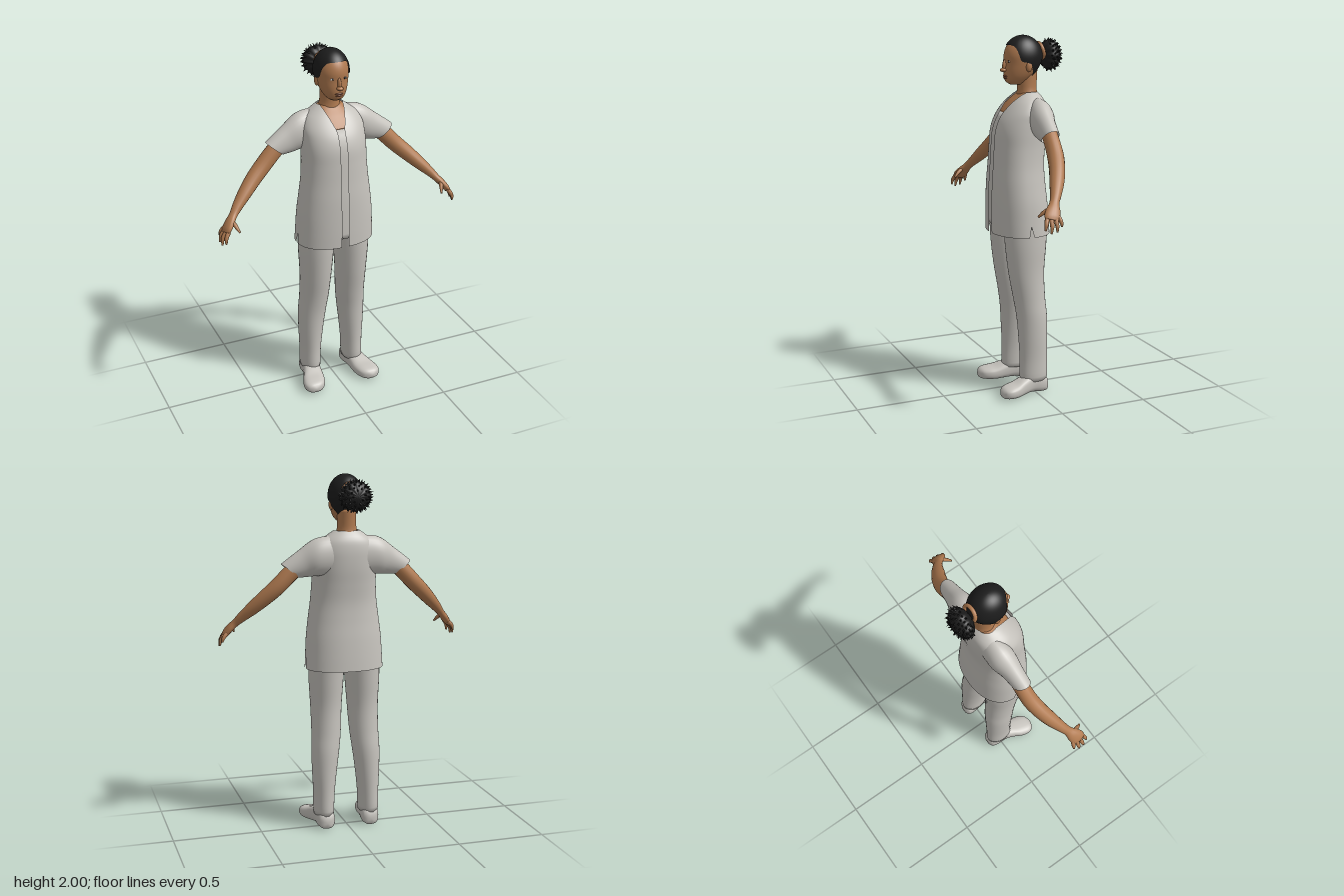
import * as THREE from 'three';

const V = (x, y, z) => new THREE.Vector3(x, y, z);
const mat = (name, color, side = THREE.FrontSide) => {
  const m = new THREE.MeshStandardMaterial({ color, side });
  m.name = name;
  return m;
};

// Smooth table lookup: rows are [key, a, b, ...] with rising keys
function sample(rows, k) {
  const n = rows.length;
  let i = 0;
  while (i < n - 2 && k > rows[i + 1][0]) i++;
  const h = rows[i + 1][0] - rows[i][0];
  const t = THREE.MathUtils.clamp((k - rows[i][0]) / h, 0, 1);
  const slope = (a, b, c) => (rows[b][c] - rows[a][c]) / (rows[b][0] - rows[a][0]) * h;
  return rows[0].slice(1).map((_, j) => {
    const c = j + 1, p = rows[i][c], q = rows[i + 1][c];
    const m = slope(Math.max(i - 1, 0), i + 1, c), o = slope(i, Math.min(i + 2, n - 1), c);
    const t2 = t * t, t3 = t2 * t;
    return (2 * t3 - 3 * t2 + 1) * p + (t3 - 2 * t2 + t) * m + (3 * t2 - 2 * t3) * q + (t3 - t2) * o;
  });
}

// Skin a list of rings (counter-clockwise about the direction of advance)
function loft(rings, { closed = true, caps = true } = {}) {
  if (caps) {
    const mid = r => { const c = V(0, 0, 0); r.forEach(p => c.add(p)); return r.map(() => c.clone().divideScalar(r.length)); };
    rings = [mid(rings[0]), ...rings, mid(rings[rings.length - 1])];
  }
  const n = rings[0].length, index = [];
  for (let i = 0; i < rings.length - 1; i++)
    for (let j = 0; j < (closed ? n : n - 1); j++) {
      const k = (j + 1) % n, a = i * n + j, b = i * n + k, c = b + n, d = a + n;
      index.push(a, b, d, b, c, d);
    }
  const g = new THREE.BufferGeometry().setFromPoints(rings.flat());
  g.setIndex(index);
  g.computeVertexNormals();
  return g;
}

const range = (n, f) => Array.from({ length: n }, (_, i) => f(i, i / (n - 1)));
const bend = (v, p) => Math.sign(v) * Math.abs(v) ** (2 / p);
const circle = (n, f) => range(n, i => f(i / n * Math.PI * 2));

// Round limb along a smooth path; rows are [x, y, z, radius towards z, other radius]
function limb(rows, steps = 24, sides = 16, ref = V(0, 0, 1)) {
  const curve = new THREE.CatmullRomCurve3(rows.map(r => V(r[0], r[1], r[2])));
  const radii = rows.map((r, i) => [i / (rows.length - 1), r[3], r[4]]);
  return loft(range(steps, (_, t) => {
    const c = curve.getPoint(t), T = curve.getTangent(t), [ru, rv] = sample(radii, t);
    const U = ref.clone().addScaledVector(T, -ref.dot(T)).normalize(), W = T.clone().cross(U);
    return circle(sides, a => c.clone().addScaledVector(U, ru * Math.cos(a)).addScaledVector(W, rv * Math.sin(a)));
  }));
}

function ball(x, y, z, rx, ry, rz) {
  return new THREE.SphereGeometry(1, 20, 14).scale(rx, ry, rz).translate(x, y, z);
}

function mirrored(g) {
  const m = g.clone().scale(-1, 1, 1), ix = m.index.array;
  for (let i = 0; i < ix.length; i += 3) [ix[i], ix[i + 1]] = [ix[i + 1], ix[i]];
  return m;
}

// Torso: y, half width, front z, back z
const TORSO = [
  [0.92, 0.222, 0.21, -0.115], [1.0, 0.218, 0.211, -0.11], [1.1, 0.212, 0.21, -0.102], [1.2, 0.2, 0.207, -0.092],
  [1.3, 0.187, 0.2, -0.087], [1.4, 0.18, 0.194, -0.095], [1.48, 0.179, 0.187, -0.104], [1.54, 0.177, 0.168, -0.107],
  [1.59, 0.172, 0.138, -0.106], [1.64, 0.145, 0.098, -0.098], [1.67, 0.107, 0.068, -0.083], [1.695, 0.072, 0.042, -0.062]];
function torsoPoint(y, a, inset = 0) {
  const [w, f, b] = sample(TORSO, y);
  return V((w - inset) * bend(Math.sin(a), 2.25), y, (f + b) / 2 + ((f - b) / 2 - inset) * bend(Math.cos(a), 2.25));
}

// Head: y, half width, front z, back z, with a dome above 1.88
const HEAD = [
  [1.735, 0.028, 0.088, 0.02], [1.75, 0.046, 0.112, 0], [1.775, 0.064, 0.12, -0.03], [1.81, 0.078, 0.121, -0.06],
  [1.85, 0.087, 0.118, -0.083], [1.88, 0.09, 0.12, -0.093]];
function headPoint(y, a, grow = 0) {
  const [w, f, b] = sample(HEAD, Math.min(y, 1.88));
  const s = y > 1.88 ? Math.sqrt(Math.max(0, 1 - ((y - 1.88) / (0.114 + grow)) ** 2)) : 1;
  return V((w + grow) * s * Math.sin(a), y, (f + b) / 2 + ((f - b) / 2 + grow) * s * Math.cos(a));
}

export function createModel() {
  const model = new THREE.Group();
  model.name = 'figure';
  const cloth = mat('grey cloth', 0xc6c3bd, THREE.DoubleSide);
  const skin = mat('brown skin', 0xb07a50);
  const hair = mat('black hair', 0x1c1c1c, THREE.DoubleSide);
  const lip = mat('lip brown', 0x8c553a);
  const white = mat('eye white', 0xe4e0da);
  const add = (name, g, m) => {
    const mesh = new THREE.Mesh(g, m);
    mesh.name = name;
    model.add(mesh);
  };
  const pair = (name, g, m) => { add('left' + name, g, m); add('right' + name, mirrored(g), m); };

  // Open jacket: V neck, narrow front gap and a slit in the hem at each side
  const slit = [23, 73];
  add('jacket', loft(range(52, (_, t) => {
    const y = 0.92 + 0.775 * t, w = sample(TORSO, y)[0];
    const gap = y < 1.58 ? 0.02 : 0.02 + (y - 1.58) * 0.39;
    const a0 = Math.asin((gap / w) ** (2.25 / 2));
    return range(97, (i, u) => torsoPoint(slit.includes(i) ? Math.max(y, 0.98) : y, a0 + (Math.PI * 2 - 2 * a0) * u));
  }), { closed: false, caps: false }), cloth);

  // Layers under the jacket
  const inner = (y0, y1) => loft(range(24, (_, t) => circle(48, a => torsoPoint(y0 + (y1 - y0) * t, a, 0.013))));
  add('undershirt', inner(0.965, 1.585), cloth);
  add('chest', inner(1.585, 1.69), skin);

  // Sleeves: top x, top y, bottom x, bottom y, centre z, half depth
  const sleeve = [
    [0, 0.06, 1.67, 0.06, 1.45, -0.03, 0.06], [1, 0.18, 1.655, 0.17, 1.45, -0.022, 0.07],
    [2, 0.28, 1.587, 0.215, 1.446, -0.012, 0.056], [3, 0.37, 1.52, 0.275, 1.442, -0.005, 0.047]];
  pair('Sleeve', loft(range(18, (_, t) => {
    const [tx, ty, bx, by, z, r] = sample(sleeve, t * 3);
    return circle(28, a => V((tx + bx) / 2 + (tx - bx) / 2 * Math.cos(a), (ty + by) / 2 + (ty - by) / 2 * Math.cos(a), z + r * Math.sin(a)));
  }), { caps: false }), cloth);

  // Arms run into a flattened palm
  pair('Arm', limb([
    [0.24, 1.54, -0.015, 0.042, 0.045], [0.32, 1.468, -0.01, 0.042, 0.046], [0.395, 1.392, 0, 0.044, 0.045],
    [0.46, 1.332, 0.022, 0.042, 0.042], [0.52, 1.275, 0.052, 0.038, 0.036], [0.575, 1.222, 0.085, 0.029, 0.027],
    [0.605, 1.19, 0.106, 0.026, 0.021], [0.63, 1.163, 0.122, 0.037, 0.02], [0.652, 1.135, 0.138, 0.043, 0.018],
    [0.664, 1.118, 0.145, 0.037, 0.013]], 44, 18), skin);

  // Fingers: knuckle, middle joint and tip
  const fingers = {
    LittleFinger: [[0.652, 1.135, 0.107], [0.674, 1.11, 0.1], [0.682, 1.085, 0.098]],
    RingFinger: [[0.656, 1.13, 0.126], [0.683, 1.096, 0.126], [0.691, 1.062, 0.128]],
    MiddleFinger: [[0.657, 1.128, 0.147], [0.682, 1.092, 0.153], [0.688, 1.055, 0.16]],
    IndexFinger: [[0.652, 1.13, 0.167], [0.671, 1.1, 0.18], [0.675, 1.07, 0.187]],
    Thumb: [[0.622, 1.172, 0.135], [0.61, 1.15, 0.168], [0.599, 1.126, 0.193]]
  };
  for (const [name, p] of Object.entries(fingers)) {
    const r = [0.012, 0.0105, 0.005];
    pair(name, limb(p.map((q, i) => [...q, r[i], r[i]]), 10, 10, V(1, 0, 0.3)), skin);
  }

  // Trouser legs: y, centre x, half width, front z, back z
  const leg = [
    [0.075, 0.132, 0.056, 0.085, -0.072], [0.1, 0.133, 0.058, 0.088, -0.075], [0.2, 0.131, 0.06, 0.087, -0.075],
    [0.33, 0.127, 0.07, 0.092, -0.076], [0.45, 0.12, 0.079, 0.1, -0.075], [0.55, 0.112, 0.083, 0.115, -0.067],
    [0.7, 0.108, 0.088, 0.142, -0.062], [0.85, 0.106, 0.097, 0.16, -0.074], [0.98, 0.102, 0.102, 0.168, -0.085]];
  pair('TrouserLeg', loft(range(36, (_, t) => {
    const y = 0.075 + 0.905 * t, [x, w, f, b] = sample(leg, y);
    return circle(32, a => V(x + w * Math.sin(a), y, (f + b) / 2 + (f - b) / 2 * Math.cos(a)));
  })), cloth);

  // Shoes: z, centre x, half width, bottom y, top y
  const shoe = [
    [-0.077, 0.13, 0.022, 0.012, 0.06], [-0.068, 0.13, 0.041, 0.002, 0.085], [-0.03, 0.132, 0.052, 0, 0.105],
    [0.03, 0.137, 0.05, 0.006, 0.11], [0.08, 0.148, 0.056, 0.003, 0.096], [0.13, 0.162, 0.065, 0, 0.078],
    [0.175, 0.172, 0.063, 0.002, 0.07], [0.207, 0.176, 0.045, 0.006, 0.06], [0.22, 0.177, 0.018, 0.015, 0.045]];
  pair('Shoe', loft(range(30, (_, t) => {
    const z = -0.077 + 0.297 * t, [x, w, lo, hi] = sample(shoe, z);
    return circle(28, a => V(x + w * bend(Math.cos(a), 2.7), (lo + hi) / 2 + (hi - lo) / 2 * bend(Math.sin(a), 2.7), z));
  })), cloth);

  // Neck and head
  const neck = [[1.62, 0.085, 0.05, -0.075], [1.67, 0.065, 0.046, -0.07], [1.71, 0.053, 0.043, -0.065], [1.81, 0.052, 0.05, -0.07]];
  add('neck', loft(range(14, (_, t) => {
    const y = 1.62 + 0.19 * t, [w, f, b] = sample(neck, y);
    return circle(28, a => V(w * Math.sin(a), y, (f + b) / 2 + (f - b) / 2 * Math.cos(a)));
  })), skin);
  add('head', loft(range(32, (_, t) => {
    const y = 1.735 + 0.258 * Math.sin(t * Math.PI / 2);
    return circle(40, a => headPoint(y, a));
  })), skin);

  // Face
  add('nose', ball(0, 1.835, 0.119, 0.011, 0.034, 0.015), skin);
  add('noseTip', ball(0, 1.814, 0.128, 0.018, 0.011, 0.018), skin);
  add('upperLip', ball(0, 1.781, 0.118, 0.023, 0.006, 0.008), lip);
  add('lowerLip', ball(0, 1.771, 0.117, 0.02, 0.006, 0.009), lip);
  const eye = headPoint(1.862, 0.4);
  pair('Eye', ball(eye.x, eye.y, eye.z - 0.001, 0.014, 0.0055, 0.004), white);
  pair('Iris', ball(eye.x, eye.y, eye.z + 0.001, 0.006, 0.0052, 0.004), hair);
  pair('Ear', ball(0.083, 1.835, 0.012, 0.012, 0.03, 0.018), skin);

  // Hair cap with a hairline that drops from the forehead to the nape
  const hairline = [[0, 1.95], [0.7, 1.943], [0.98, 1.915], [1.15, 1.868], [1.6, 1.852], [2.0, 1.815], [2.5, 1.775], [3.15, 1.765]];
  add('hairCap', loft(range(22, (_, t) => circle(72, a => {
    const [low] = sample(hairline, Math.PI - Math.abs(a - Math.PI));
    return headPoint(low + (2 - low) * Math.sin(t * Math.PI / 2), a, 0.006);
  })), { caps: false }), hair);

  // Hair tie and gathered bun with spiky ends
  add('hairTie', new THREE.TorusGeometry(0.042, 0.011, 10, 28).rotateX(0.25).translate(0, 1.912, -0.092), skin);
  const centre = V(-0.008, 1.888, -0.15), size = V(0.083, 0.08, 0.054);
  const bun = new THREE.SphereGeometry(1, 48, 24).rotateX(Math.PI / 2), p = bun.attributes.position;
  for (let i = 0; i < p.count; i++) {
    const v = V(0, 0, 0).fromBufferAttribute(p, i);
    const fold = 1 + 0.05 * Math.cos(12 * Math.atan2(v.y, v.x)) * Math.hypot(v.x, v.y);
    v.multiplyScalar(fold).multiply(size).add(centre);
    p.setXYZ(i, v.x, v.y, v.z);
  }
  bun.computeVertexNormals();
  add('bun', bun, hair);
  const spikes = new THREE.Group();
  spikes.name = 'bunSpikes';
  const cone = new THREE.ConeGeometry(0.011, 0.034, 5);
  for (let i = 0; i < 90; i++) {
    const z = 0.35 - 1.3 * (i + 0.5) / 90, r = Math.sqrt(1 - z * z), a = i * 2.39996;
    const dir = V(r * Math.cos(a), r * Math.sin(a), z);
    const s = new THREE.Mesh(cone, hair);
    s.name = 'spike';
    s.position.copy(dir).multiply(size).add(centre);
    s.quaternion.setFromUnitVectors(V(0, 1, 0), dir.clone().add(V(0.35 * Math.sin(i * 5), 0.35 * Math.cos(i * 3), -0.15)).normalize());
    spikes.add(s);
  }
  model.add(spikes);
  return model;
}
